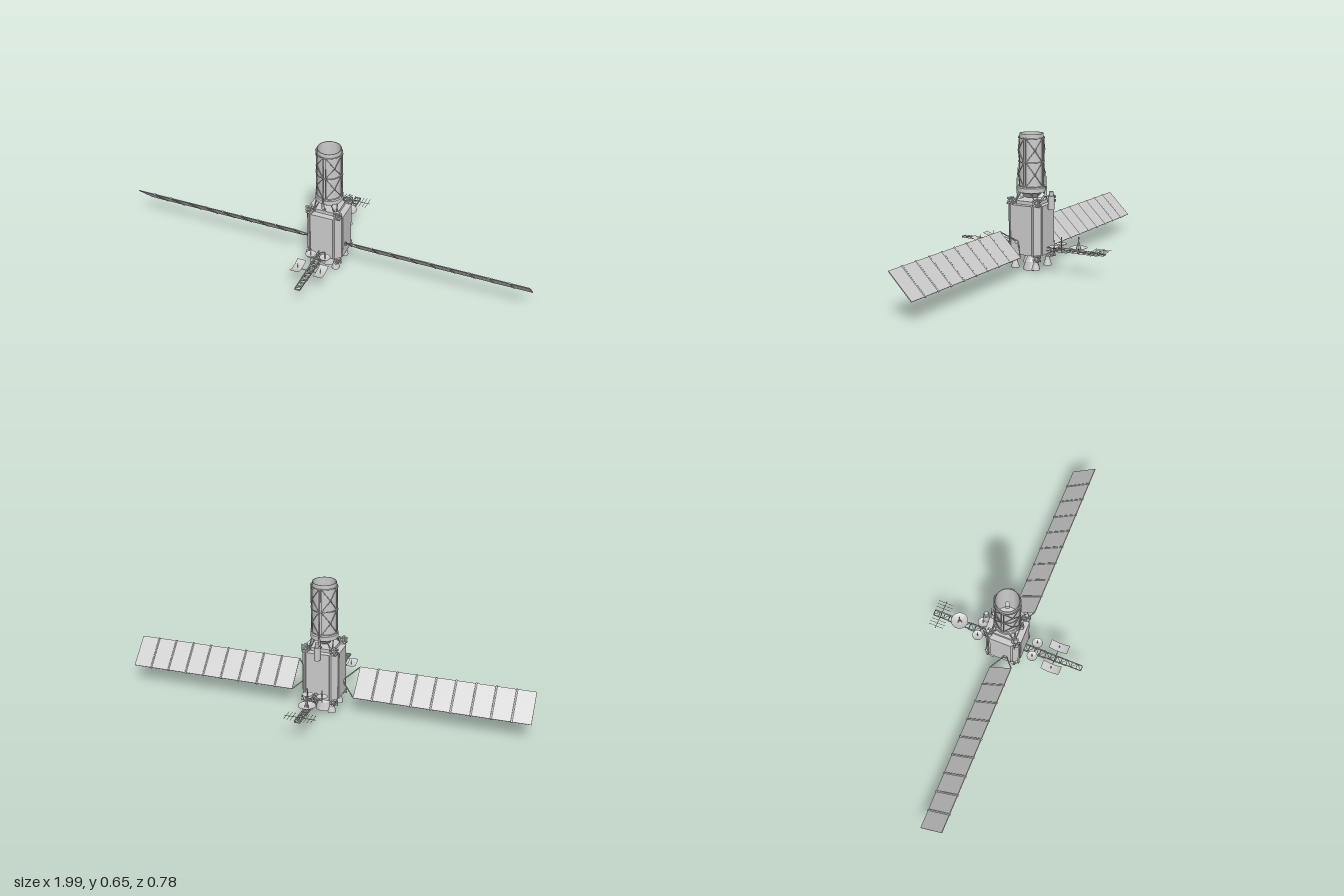
import * as THREE from 'three';
import { toCreasedNormals } from 'three/addons/utils/BufferGeometryUtils.js';

const grey = new THREE.MeshStandardMaterial({ color: 0xcccccc });
const thin = new THREE.MeshStandardMaterial({ color: 0xcccccc, side: THREE.DoubleSide });
const V = (x, y, z) => new THREE.Vector3(x, y, z);

function add(parent, name, geometry, x = 0, y = 0, z = 0, material = grey) {
  const mesh = new THREE.Mesh(geometry, material);
  mesh.name = name;
  mesh.position.set(x, y, z);
  parent.add(mesh);
  return mesh;
}
function group(parent, name, x = 0, y = 0, z = 0) {
  const g = new THREE.Group();
  g.name = name;
  g.position.set(x, y, z);
  parent.add(g);
  return g;
}
const box = (w, h, d) => new THREE.BoxGeometry(w, h, d);
const cyl = (r1, r2, h, n = 16) => new THREE.CylinderGeometry(r1, r2, h, n);
const lathe = (pts, n = 32) => toCreasedNormals(
  new THREE.LatheGeometry(pts.map(p => new THREE.Vector2(p[0], p[1])), n), 0.5);

// Round bar between two points, optionally tapered
function rod(parent, name, a, b, r = 0.002, rEnd = r) {
  const d = b.clone().sub(a);
  const m = add(parent, name, cyl(rEnd, r, d.length(), 6));
  m.position.copy(a).add(b).multiplyScalar(0.5);
  m.quaternion.setFromUnitVectors(V(0, 1, 0), d.normalize());
  return m;
}

// Chamfered square prism standing on y = 0
function prism(half, flat, h) {
  const s = new THREE.Shape([[half, -flat], [half, flat], [flat, half], [-flat, half],
    [-half, flat], [-half, -flat], [-flat, -half], [flat, -half]].map(p => new THREE.Vector2(...p)));
  return new THREE.ExtrudeGeometry(s, { depth: h, bevelEnabled: false }).rotateX(-Math.PI / 2);
}

function buildBus(root) {
  const g = group(root, 'bus');
  add(g, 'busBody', prism(0.087, 0.062, 0.235), 0, 0.087, 0);
  add(g, 'upperDeck', prism(0.062, 0.045, 0.018), 0, 0.32, 0);
  for (let i = 0; i < 4; i++) {
    const side = group(g, 'busSide');
    side.rotation.y = i * Math.PI / 2;
    add(side, 'sidePanel', box(0.108, 0.235, 0.005), 0, 0.2045, 0.0885);
    const corner = group(g, 'busCorner');
    corner.rotation.y = (i + 0.5) * Math.PI / 2;
    add(corner, 'cornerPanel', box(0.022, 0.225, 0.005), 0, 0.2045, 0.1055);
  }
  // Sensor barrel on the back
  add(g, 'sensorBarrel', cyl(0.015, 0.015, 0.065, 20), 0, 0.332, -0.107);
  add(g, 'sensorHood', cyl(0.01, 0.01, 0.022, 20), 0, 0.374, -0.107);
  add(g, 'sensorBracket', box(0.018, 0.015, 0.02), 0, 0.31, -0.093);
}

function buildEngines(root) {
  const g = group(root, 'engines');
  add(g, 'mainEngine', lathe([[0, 0.03], [0.015, 0.028], [0.037, 0], [0.04, 0], [0.038, 0.013], [0.031, 0.035],
    [0.031, 0.04], [0.027, 0.045], [0.019, 0.065], [0.019, 0.07], [0.013, 0.073], [0.012, 0.09]]));
  for (const x of [-1, 1]) for (const z of [-1, 1]) {
    add(g, 'sideEngine', lathe([[0, 0.03], [0.018, 0.015], [0.02, 0.015], [0.017, 0.03], [0.011, 0.045],
      [0.01, 0.058], [0.007, 0.06], [0.007, 0.09]], 20), x * 0.056, 0, z * 0.056);
    // Attitude thruster blocks above and below each corner
    for (const [y, dir] of [[0.072, -1], [0.338, 1]]) {
      const t = group(g, 'thrusterBlock', x * 0.07, y, z * 0.07);
      add(t, 'thrusterMount', box(0.014, 0.032, 0.014));
      add(t, 'thrusterBase', box(0.03, 0.006, 0.03), 0, -dir * 0.014, 0);
      for (const row of [-0.008, 0.009]) {
        for (const [dx, dz] of [[x, 0], [0, z], [-x, 0], [0, -z]]) {
          rod(t, 'thrusterNozzle', V(dx * 0.006, row, dz * 0.006), V(dx * 0.02, row, dz * 0.02), 0.003, 0.0065);
        }
      }
    }
  }
}

function buildTelescope(root) {
  const g = group(root, 'telescope');
  add(g, 'telescopeTube', lathe([[0, 0.349], [0.03, 0.349], [0.034, 0.355], [0.055, 0.374], [0.066, 0.377],
    [0.066, 0.398], [0.057, 0.402], [0.057, 0.618], [0.059, 0.618], [0.059, 0.63], [0.057, 0.63],
    [0.057, 0.652], [0.054, 0.652], [0.054, 0.43], [0, 0.425]], 40));
  add(g, 'secondaryMirror', cyl(0.012, 0.012, 0.03, 20), 0, 0.59, 0);
  // Outer truss: four double uprights, three hoops, crossed braces
  const R = 0.063, levels = [0.405, 0.52, 0.632];
  const at = (a, y, r = R) => V(Math.sin(a) * r, y, Math.cos(a) * r);
  for (const y of levels) add(g, 'trussHoop', new THREE.TorusGeometry(0.061, 0.0022, 6, 40).rotateX(Math.PI / 2), 0, y, 0);
  for (let i = 0; i < 4; i++) {
    const a = i * Math.PI / 2, mid = a + Math.PI / 4, next = a + Math.PI / 2;
    for (const d of [-0.09, 0.09]) {
      rod(g, 'trussUpright', at(a + d, 0.4), at(a + d, 0.636), 0.0022);
      for (const y of levels) add(g, 'trussJoint', new THREE.SphereGeometry(0.0045, 10, 8), ...at(a + d, y).toArray());
    }
    for (let k = 0; k < 2; k++) {
      const lo = levels[k], hi = levels[k + 1], node = at(mid, (lo + hi) / 2, 0.064);
      for (const y of [lo, hi]) for (const e of [a + 0.09, next - 0.09]) rod(g, 'trussBrace', at(e, y), node);
      add(g, 'trussJoint', new THREE.SphereGeometry(0.004, 10, 8), ...node.toArray());
    }
    // Legs joining the telescope to the bus
    for (const d of [-0.3, 0.3]) rod(g, 'mountLeg', at(mid, 0.325, 0.08), at(mid + d, 0.378, 0.06), 0.003);
  }
  // Tapered whip antennas at front and back
  for (const s of [-1, 1]) {
    rod(g, 'whipAntenna', V(0, 0.39, s * 0.08), V(0, 0.482, s * 0.077), 0.0035, 0.001);
    rod(g, 'whipBase', V(0, 0.36, s * 0.074), V(0, 0.395, s * 0.08), 0.008, 0.005);
    rod(g, 'whipBracket', V(0, 0.335, s * 0.052), V(0, 0.37, s * 0.076), 0.005);
  }
}

function buildSolarWing(root, s) {
  const g = group(root, s > 0 ? 'leftSolarWing' : 'rightSolarWing', 0, 0.146, 0.025);
  g.rotation.x = -Math.PI / 4;
  const pitch = 0.85 / 9;
  for (let i = 0; i < 9; i++) {
    add(g, 'solarPanel', box(pitch - 0.007, 0.004, 0.16), s * (0.15 + pitch * (i + 0.5)), 0, 0);
    if (i) {
      const x = s * (0.15 + pitch * i);
      rod(g, 'panelHinge', V(x, 0, -0.083), V(x, 0, 0.083), 0.0045);
    }
  }
  for (const z of [-1, 1]) {
    rod(g, 'wingArm', V(s * 0.088, 0, z * 0.006), V(s * 0.153, 0, z * 0.078), 0.003);
  }
  rod(g, 'wingRoot', V(s * 0.08, 0, 0), V(s * 0.098, 0, 0), 0.01);
}

// Bowl with a central post and feed
function dish(parent, name, x, z, r, depth, mast) {
  const g = group(parent, name, x, 0.124, z);
  const pts = Array.from({ length: 8 }, (_, i) => [r * i / 7, depth * (i / 7) ** 2]);
  add(g, 'dishBowl', lathe(pts, 28), 0, 0, 0, thin);
  rod(g, 'dishPost', V(0, -0.022, 0), V(0, mast, 0), 0.0018);
  add(g, 'dishFeed', cyl(0.003, 0.003, 0.01, 10), 0, mast - 0.006, 0);
  if (r > 0.03) for (let i = 0; i < 3; i++) {
    const a = i * Math.PI * 2 / 3;
    rod(g, 'feedStrut', V(Math.sin(a) * 0.011, 0.002, Math.cos(a) * 0.011), V(0, mast - 0.014, 0), 0.0015);
  }
}

// Stepped lattice boom running out along z
function buildBoom(root, s) {
  const g = group(root, s > 0 ? 'frontBoom' : 'backBoom');
  for (const [z0, z1, h, w, n] of [[0.085, 0.2, 0.014, 0.016, 4], [0.2, 0.31, 0.01, 0.014, 4], [0.31, 0.388, 0.006, 0.013, 3]]) {
    const step = (z1 - z0) / n, top = 0.118;
    for (const x of [-w, w]) for (const y of [top, top - h])
      add(g, 'boomRail', box(0.003, 0.002, z1 - z0), x, y, s * (z0 + z1) / 2);
    for (let i = 0; i <= n; i++) {
      const z = s * (z0 + i * step);
      add(g, 'boomRung', box(w * 2, h, 0.003), 0, top - h / 2, z);
      const e = i % 2 ? 1 : -1;
      if (i < n) rod(g, 'boomDiagonal', V(-e * w, top, z), V(e * w, top, z + s * step), 0.0014);
    }
  }
  // Twin small dishes on a crossbar
  rod(g, 'dishCrossbar', V(-0.036, 0.112, s * 0.143), V(0.036, 0.112, s * 0.143), 0.003);
  for (const x of [-0.036, 0.036]) dish(g, 'smallDish', x, s * 0.143, 0.026, 0.009, 0.04);
}

function buildBoomInstruments(root) {
  const g = group(root, 'boomInstruments');
  dish(g, 'largeDish', 0, -0.253, 0.042, 0.011, 0.06);
  // Curved rectangular reflectors at the front
  rod(g, 'reflectorBar', V(-0.078, 0.121, 0.25), V(0.078, 0.121, 0.25));
  for (const x of [-0.057, 0.057]) {
    const sheet = new THREE.PlaneGeometry(0.044, 0.094, 1, 10).rotateX(-Math.PI / 2);
    const p = sheet.attributes.position;
    for (let i = 0; i < p.count; i++) p.setY(i, 0.013 * (p.getZ(i) / 0.047) ** 2);
    sheet.computeVertexNormals();
    add(g, 'reflectorSheet', sheet, x, 0.124, 0.25, thin);
    rod(g, 'reflectorFeed', V(x, 0.118, 0.25), V(x, 0.15, 0.25), 0.0018);
  }
  // Multi-element antenna at the back
  rod(g, 'antennaBar', V(-0.075, 0.121, -0.352), V(0.075, 0.121, -0.352), 0.0015);
  for (const x of [0.014, 0.032, 0.048, 0.064]) for (const s of [-1, 1])
    rod(g, 'antennaElement', V(s * x, 0.122, -0.312), V(s * x, 0.122, -0.39), 0.001);
  rod(g, 'antennaPost', V(0, 0.112, -0.352), V(0, 0.126, -0.352), 0.002);
}

export function createModel() {
  const root = new THREE.Group();
  root.name = 'spaceTelescope';
  buildBus(root);
  buildEngines(root);
  buildTelescope(root);
  for (const s of [-1, 1]) {
    buildSolarWing(root, s);
    buildBoom(root, s);
  }
  buildBoomInstruments(root);
  return root;
}
